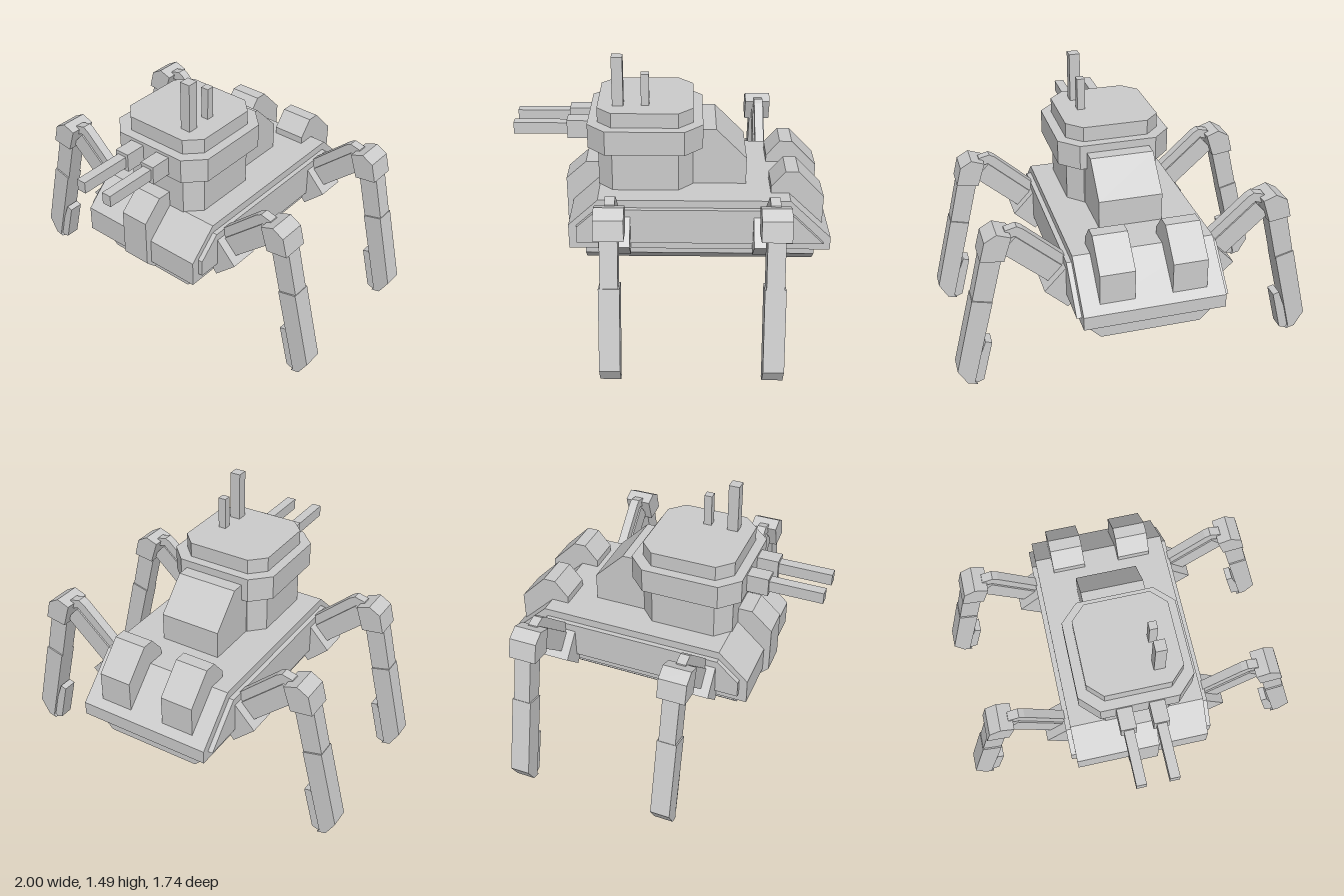
import * as THREE from 'three';

const material = new THREE.MeshStandardMaterial({ color: 0xcccccc, flatShading: true });

// Straight prism from a 2D outline, centred on its axis.
// axis 'x': outline is (z, y); axis 'y': outline is (x, z); axis 'z': outline is (x, y)
function prism(name, points, depth, axis, x = 0, y = 0, z = 0) {
  const shape = new THREE.Shape(points.map(([a, b]) => new THREE.Vector2(a, b)));
  const geometry = new THREE.ExtrudeGeometry(shape, { depth, bevelEnabled: false });
  geometry.translate(0, 0, -depth / 2);
  if (axis === 'x') geometry.rotateY(-Math.PI / 2);
  if (axis === 'y') geometry.rotateX(Math.PI / 2);
  const mesh = new THREE.Mesh(geometry, material);
  mesh.name = name;
  mesh.position.set(x, y, z);
  return mesh;
}

function box(name, w, h, d, x, y, z) {
  const mesh = new THREE.Mesh(new THREE.BoxGeometry(w, h, d), material);
  mesh.name = name;
  mesh.position.set(x, y, z);
  return mesh;
}

// Square outline with cut corners
function octagon(r, c) {
  return [[r - c, -r], [r, c - r], [r, r - c], [r - c, r], [c - r, r], [-r, r - c], [-r, c - r], [c - r, -r]];
}

function createHull() {
  const hull = new THREE.Group();
  hull.name = 'hull';
  hull.add(
    prism('upperHull', [[0.565, 0.46], [0.565, 0.605], [0.4, 0.76], [-0.64, 0.76], [-0.87, 0.535], [-0.87, 0.46]], 0.76, 'x'),
    prism('lowerHull', [[-0.335, 0.46], [-0.335, 0.405], [-0.27, 0.34], [0.27, 0.34], [0.335, 0.405], [0.335, 0.46]],
      1.27, 'z', 0, 0, -0.155),
    prism('noseGuard', [[0.36, 0.76], [0.4, 0.845], [0.485, 0.845], [0.6, 0.74], [0.6, 0.47], [0.545, 0.415], [0.48, 0.415]],
      0.166, 'x'),
  );
  for (const s of [-1, 1]) {
    hull.add(
      prism('sidePanel', [[0.52, 0.51], [0.52, 0.605], [0.4, 0.715], [-0.625, 0.715], [-0.83, 0.51]], 0.04, 'x', s * 0.387),
      prism('rearPod', [[-0.54, 0.7], [-0.54, 0.8], [-0.615, 0.89], [-0.685, 0.89], [-0.83, 0.74], [-0.83, 0.54]],
        0.186, 'x', s * 0.193),
    );
  }
  return hull;
}

function createTurret() {
  const turret = new THREE.Group();
  turret.name = 'turret';
  const zc = 0.145;
  turret.add(
    prism('turretNeck', octagon(0.26, 0.08), 0.25, 'y', 0, 0.875, zc),
    prism('turretRing', octagon(0.313, 0.1), 0.138, 'y', 0, 1.063, zc),
    prism('turretRoof', octagon(0.26, 0.08), 0.1, 'y', 0, 1.165, zc),
    prism('turretBackHousing', [[-0.09, 0.75], [-0.09, 1.088], [-0.24, 1.088], [-0.41, 0.915], [-0.41, 0.75]], 0.35, 'x'),
    box('tallAntenna', 0.06, 0.3, 0.06, 0.13, 1.34, 0.293),
    box('shortAntenna', 0.044, 0.2, 0.044, 0.13, 1.295, 0.146),
  );
  for (const s of [-1, 1]) {
    turret.add(
      box('gunSleeve', 0.084, 0.104, 0.15, s * 0.088, 1.063, 0.501),
      box('gunBarrel', 0.054, 0.065, 0.32, s * 0.088, 1.063, 0.71),
    );
  }
  return turret;
}

function createLeg(side, z) {
  const leg = new THREE.Group();
  leg.name = (z > 0 ? 'front' : 'rear') + (side > 0 ? 'Left' : 'Right') + 'Leg';
  const part = (name, points, width) =>
    leg.add(prism(name, points.map(([x, y]) => [side * x, y]), width, 'z'));

  part('hip', [[0.4, 0.435], [0.522, 0.55], [0.395, 0.685], [0.28, 0.57]], 0.168);
  // Sloping arm and the narrower strip along its top
  part('upperArm', [[0.41, 0.507], [0.725, 0.788], [0.65, 0.872], [0.335, 0.588]], 0.07);
  part('armStrip', [[0.335, 0.588], [0.65, 0.872], [0.72, 0.85], [0.7, 0.91], [0.64, 0.925], [0.61, 0.908], [0.3, 0.624]], 0.052);
  part('knee', [[0.842, 0.78], [0.815, 0.885], [0.75, 0.922], [0.677, 0.895], [0.72, 0.762]], 0.153);
  part('shin', [[0.83, 0.8], [0.725, 0.775], [0.792, 0.5], [0.895, 0.525]], 0.092);
  part('foot', [[0.895, 0.537], [0.79, 0.51], [0.912, 0.02], [0.9, 0.003], [0.95, 0.016], [1, 0.105]], 0.108);
  part('toePad', [[0.84, 0.26], [0.805, 0.25], [0.863, 0.015], [0.905, 0], [0.93, 0.02]], 0.08);
  leg.position.z = z;
  return leg;
}

export function createModel() {
  const model = new THREE.Group();
  model.name = 'walkerTank';
  model.add(createHull(), createTurret());
  for (const side of [-1, 1]) {
    for (const z of [0.308, -0.527]) model.add(createLeg(side, z));
  }
  return model;
}
